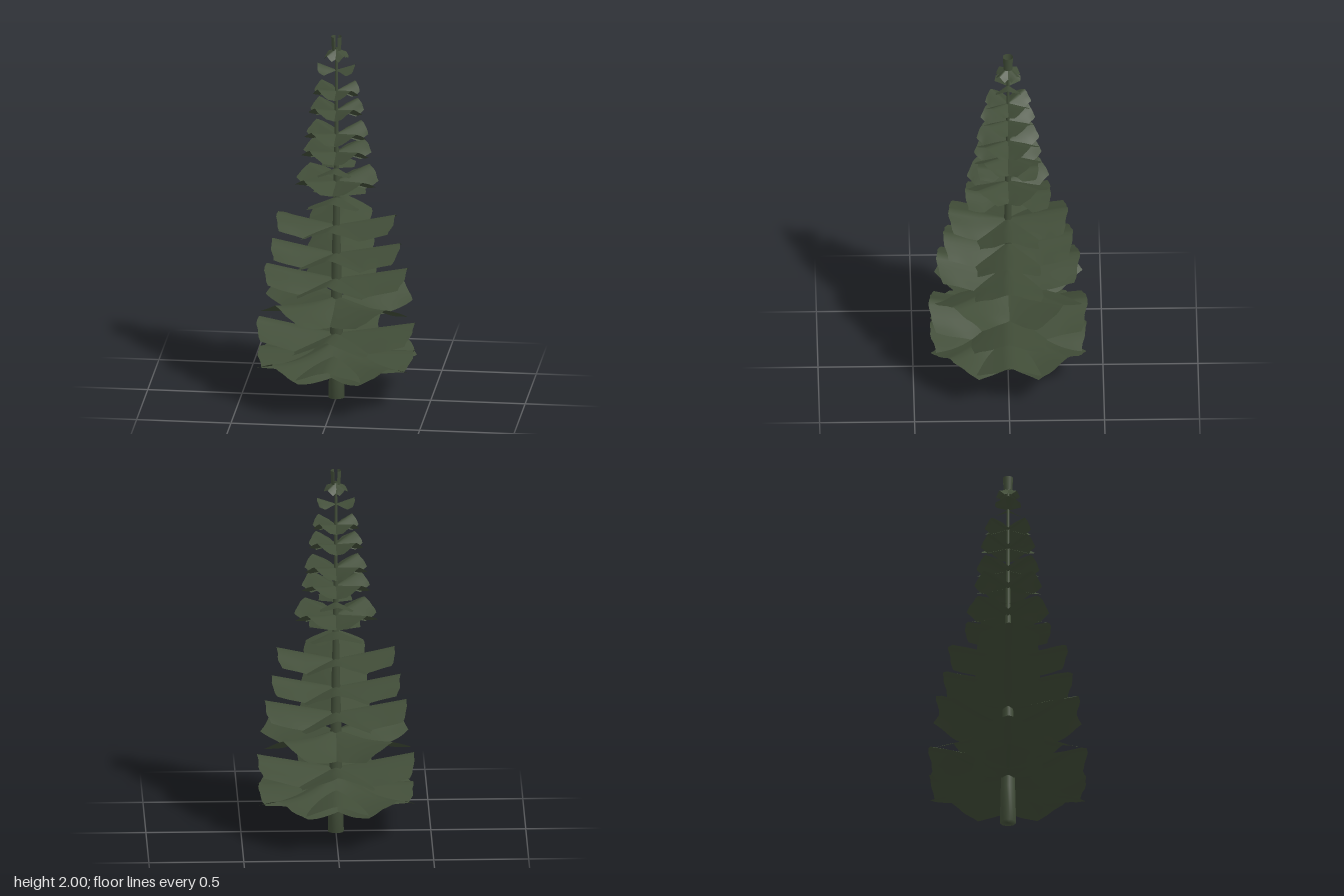
import * as THREE from 'three';

const foliage = new THREE.MeshStandardMaterial({ color: 0x414d38, side: THREE.DoubleSide });
foliage.name = 'dark green';

// Broad frond along +z: fans out from the stem, then runs straight to a blunt,
// slightly rounded end; its sides fall away from a central ridge.
function frondGeometry({ reach, half, root, tip, drop, dip = 0, bow = 0.075 }, seed) {
  const rows = 12, cols = 12, pos = [], index = [];
  for (let i = 0; i <= rows; i++) {
    const t = i / rows;
    const width = Math.min(t * reach * 1.02 + 0.006, half) * (1 - 0.07 * t * t);
    for (let j = 0; j <= cols; j++) {
      const s = (j / cols) * 2 - 1;
      const ragged = 1 + 0.008 * t * (Math.sin(s * 6 + seed * 2.1) + Math.sin(s * 11 + seed));
      const edge = 1 + 0.025 * s * s * Math.sin(t * 11 + seed * 1.7 + s);
      const fall = Math.pow(Math.abs(s) * width / half, 1.1);
      const wave = 0.018 * half * t * Math.sin(s * 4 + seed * 1.3);
      pos.push(
        s * width * edge,
        root + (tip - root) * t - dip * Math.sin(Math.PI * t) - drop * fall + wave,
        reach * t * (1 - bow * s * s * t) * ragged
      );
      if (i < rows && j < cols) {
        const a = i * (cols + 1) + j, c = a + cols + 1;
        index.push(a, c, a + 1, a + 1, c, c + 1);
      }
    }
  }
  const g = new THREE.BufferGeometry();
  g.setAttribute('position', new THREE.Float32BufferAttribute(pos, 3));
  g.setIndex(index);
  g.computeVertexNormals();
  return g;
}

const cross = [0, 90, 180, 270];
const diagonal = [45, 135, 225, 315];
const frontBack = [0, 180];
const sides = [90, 270];

// Whorls from the ground up
const tiers = [
  { angles: diagonal, reach: 0.435, half: 0.19, root: 0.32, tip: 0.265, drop: 0.07, dip: 0.035 },
  { angles: cross, reach: 0.41, half: 0.19, root: 0.26, tip: 0.27, drop: 0.07 },
  { angles: cross, reach: 0.415, half: 0.2, root: 0.355, tip: 0.43, drop: 0.085 },
  { angles: diagonal, reach: 0.41, half: 0.185, root: 0.56, tip: 0.59, drop: 0.09, dip: 0.015 },
  { angles: cross, reach: 0.375, half: 0.185, root: 0.66, tip: 0.73, drop: 0.08 },
  { angles: cross, reach: 0.34, half: 0.175, root: 0.8, tip: 0.865, drop: 0.07 },
  { angles: cross, reach: 0.312, half: 0.165, root: 0.955, tip: 1.02, drop: 0.065 },
  { angles: frontBack, reach: 0.225, half: 0.14, root: 1.11, tip: 1.14, drop: 0.04 },
  { angles: diagonal, reach: 0.222, half: 0.12, root: 1.2, tip: 1.245, drop: 0.06, bow: 0.12 },
  { angles: frontBack, reach: 0.16, half: 0.09, root: 1.27, tip: 1.29, drop: 0.03 },
  { angles: diagonal, reach: 0.182, half: 0.1, root: 1.36, tip: 1.4, drop: 0.055, bow: 0.12 },
  { angles: diagonal, reach: 0.168, half: 0.092, root: 1.46, tip: 1.5, drop: 0.055, bow: 0.12 },
  { angles: diagonal, reach: 0.145, half: 0.08, root: 1.59, tip: 1.63, drop: 0.05, bow: 0.12 },
  { angles: diagonal, reach: 0.125, half: 0.066, root: 1.7, tip: 1.73, drop: 0.045, bow: 0.12 },
  { angles: sides, reach: 0.1, half: 0.07, root: 1.815, tip: 1.85, drop: 0.035, bow: 0.12 },
  { angles: diagonal, reach: 0.065, half: 0.035, root: 1.935, tip: 1.905, drop: 0.03, bow: 0.12 },
];

export function createModel() {
  const model = new THREE.Group();
  model.name = 'coniferTree';

  // Tapering trunk
  const profile = [[0, 0], [0.043, 0], [0.038, 0.2], [0.029, 0.6], [0.019, 1], [0.01, 1.5], [0.007, 1.94]]
    .map(([r, y]) => new THREE.Vector2(r, y));
  const trunk = new THREE.Mesh(new THREE.LatheGeometry(profile, 14), foliage);
  trunk.name = 'trunk';
  model.add(trunk);

  // Whorls of fronds
  tiers.forEach((tier, n) => {
    const whorl = new THREE.Group();
    whorl.name = `whorl${n + 1}`;
    tier.angles.forEach((deg, k) => {
      const frond = new THREE.Mesh(frondGeometry(tier, n * 3 + k * 1.9), foliage);
      frond.name = 'frond';
      frond.rotation.y = THREE.MathUtils.degToRad(deg);
      whorl.add(frond);
    });
    model.add(whorl);
  });

  // Upright bud of two folded leaves at the top
  const bud = new THREE.Group();
  bud.name = 'topBud';
  for (const turn of [0.3, 0.3 + Math.PI]) {
    const leaf = new THREE.Mesh(
      new THREE.CylinderGeometry(0.028, 0.024, 0.075, 6, 2, true, turn, Math.PI * 0.8), foliage);
    leaf.name = 'budLeaf';
    leaf.position.y = 1.9625;
    bud.add(leaf);
  }
  model.add(bud);
  return model;
}
